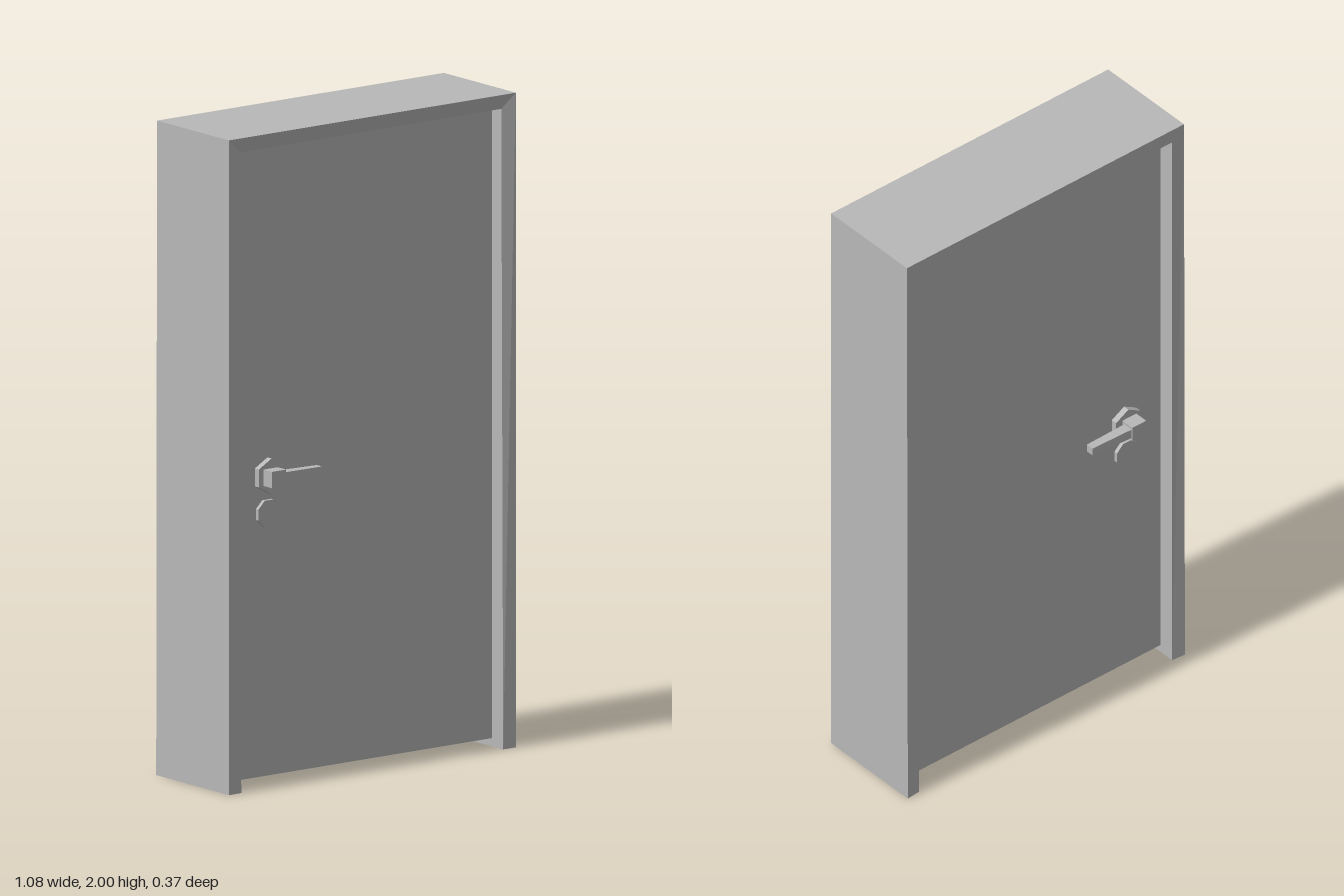
import * as THREE from 'three';

const grey = new THREE.MeshStandardMaterial({ color: 0xb8b8b8 });
grey.name = 'plain grey';

function part(parent, name, geometry, x = 0, y = 0, z = 0) {
  const mesh = new THREE.Mesh(geometry, grey);
  mesh.name = name;
  mesh.position.set(x, y, z);
  parent.add(mesh);
  return mesh;
}

// Mitred U-shaped frame: a four-cornered section carried from foot to foot
function frameGeometry() {
  const section = (side, outerY, innerY, innerFront, outerBack) => [
    [side * 0.542, outerY, 0.176], [side * 0.495, innerY, innerFront],
    [side * 0.495, innerY, -0.174], [side * 0.542, outerY, outerBack],
  ];
  const stations = [
    section(-1, 0, 0, 0.175, -0.178), section(-1, 2, 1.955, 0.166, -0.174),
    section(1, 2, 1.955, 0.166, -0.174), section(1, 0, 0, 0.175, -0.178),
  ];
  const points = [];
  const quad = (a, b, c, d) => points.push(...a, ...b, ...c, ...a, ...c, ...d);
  for (let i = 0; i < 3; i++) {
    const s = stations[i], t = stations[i + 1];
    for (let k = 0; k < 4; k++) {
      const n = (k + 1) % 4;
      quad(s[k], s[n], t[n], t[k]);
    }
  }
  const first = stations[0], last = stations[3];
  quad(first[0], first[3], first[2], first[1]);
  quad(...last);
  const geometry = new THREE.BufferGeometry();
  geometry.setAttribute('position', new THREE.Float32BufferAttribute(points, 3));
  geometry.computeVertexNormals();
  return geometry;
}

// Faceted disc whose axis runs along z, with a corner at the top for six sides
function discGeometry(radius, depth, sides, turn = 0) {
  const geometry = new THREE.CylinderGeometry(radius, radius, depth, sides).toNonIndexed();
  geometry.rotateY(turn).rotateX(Math.PI / 2);
  geometry.computeVertexNormals();
  return geometry;
}

// Lever that narrows in height and depth towards its free end
function leverGeometry(face) {
  const length = 0.146;
  const geometry = new THREE.BoxGeometry(length, 0.032, 0.034).toNonIndexed();
  const p = geometry.attributes.position;
  for (let i = 0; i < p.count; i++) {
    if (p.getX(i) < 0) continue;
    p.setY(i, p.getY(i) * 0.8);
    if (p.getZ(i) * face > 0) p.setZ(i, p.getZ(i) - face * 0.008);
  }
  geometry.computeVertexNormals();
  return geometry;
}

// Lever handle and lock cover for one face of the door
function handleSet(face) {
  const group = new THREE.Group();
  group.name = face > 0 ? 'frontHandle' : 'backHandle';
  const reach = face > 0 ? 0.181 : 0.186;
  part(group, 'rosette', discGeometry(0.055, 0.03, 6), -0.353, 0.942, face * 0.125);
  part(group, 'handleNeck', new THREE.BoxGeometry(0.054, 0.05, reach - 0.12),
    -0.357, 0.942, face * (reach + 0.12) / 2);
  part(group, 'lever', leverGeometry(face), -0.257, 0.942, face * (reach - 0.021));
  part(group, 'lockCover', discGeometry(0.044, 0.02, 8, Math.PI / 8), -0.356, 0.828, face * 0.122);
  return group;
}

export function createModel() {
  const model = new THREE.Group();
  model.name = 'door';
  part(model, 'doorFrame', frameGeometry());
  part(model, 'doorPanel', new THREE.BoxGeometry(0.99, 1.93, 0.24), 0, 0.99, 0);
  for (const face of [1, -1]) model.add(handleSet(face));
  return model;
}
